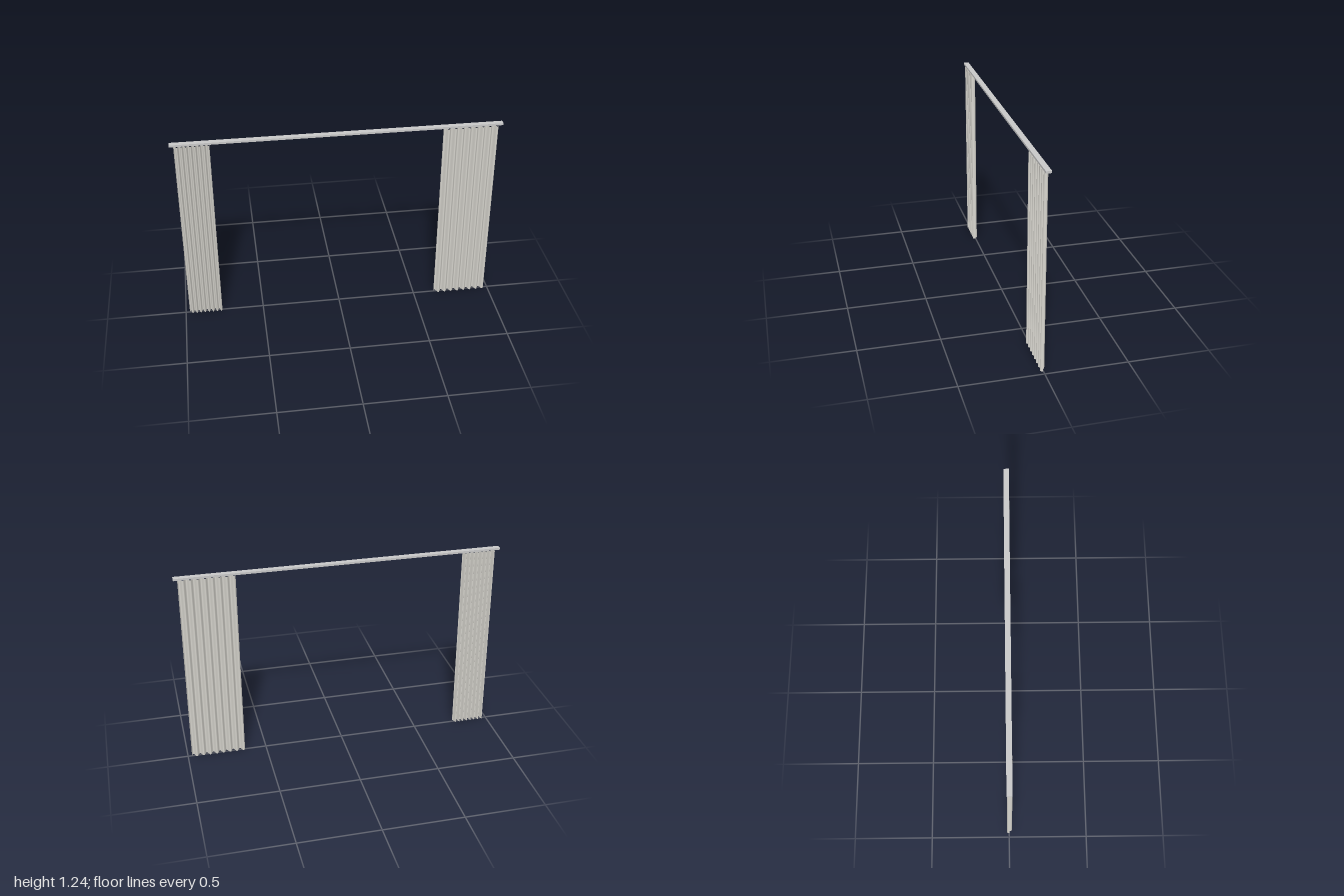
import * as THREE from 'three';

const PLEATS = 8;
const STEPS = 8; // segments per pleat
const HEIGHT = 1.219;
const DEPTH = 0.0155;

// Thin pleated sheet hanging between two x positions
function curtain(name, x0, x1, material) {
  const width = x1 - x0;
  const geometry = new THREE.PlaneGeometry(width, HEIGHT, PLEATS * STEPS, 4);
  const p = geometry.attributes.position;
  for (let i = 0; i < p.count; i++) {
    const t = 0.5 - p.getX(i) / width;
    p.setZ(i, DEPTH * Math.sin(t * PLEATS * Math.PI * 2));
  }
  geometry.computeVertexNormals();
  const mesh = new THREE.Mesh(geometry, material);
  mesh.name = name;
  mesh.position.set((x0 + x1) / 2, HEIGHT / 2, 0.002);
  return mesh;
}

export function createModel() {
  const fabric = new THREE.MeshStandardMaterial({ color: 0xd8d6cf, side: THREE.DoubleSide });
  fabric.name = 'curtain fabric';
  const metal = new THREE.MeshStandardMaterial({ color: 0xc8c8c8 });
  metal.name = 'rail metal';

  const group = new THREE.Group();
  group.name = 'curtains';

  // Ceiling rail
  const rail = new THREE.Mesh(new THREE.BoxGeometry(2, 0.013, 0.033), metal);
  rail.name = 'rail';
  rail.position.set(0, 1.2315, 0);
  group.add(rail);

  // Drawn-back curtains, the right one gathered tighter
  group.add(curtain('rightCurtain', -0.975, -0.765, fabric));
  group.add(curtain('leftCurtain', 0.635, 0.975, fabric));
  return group;
}
